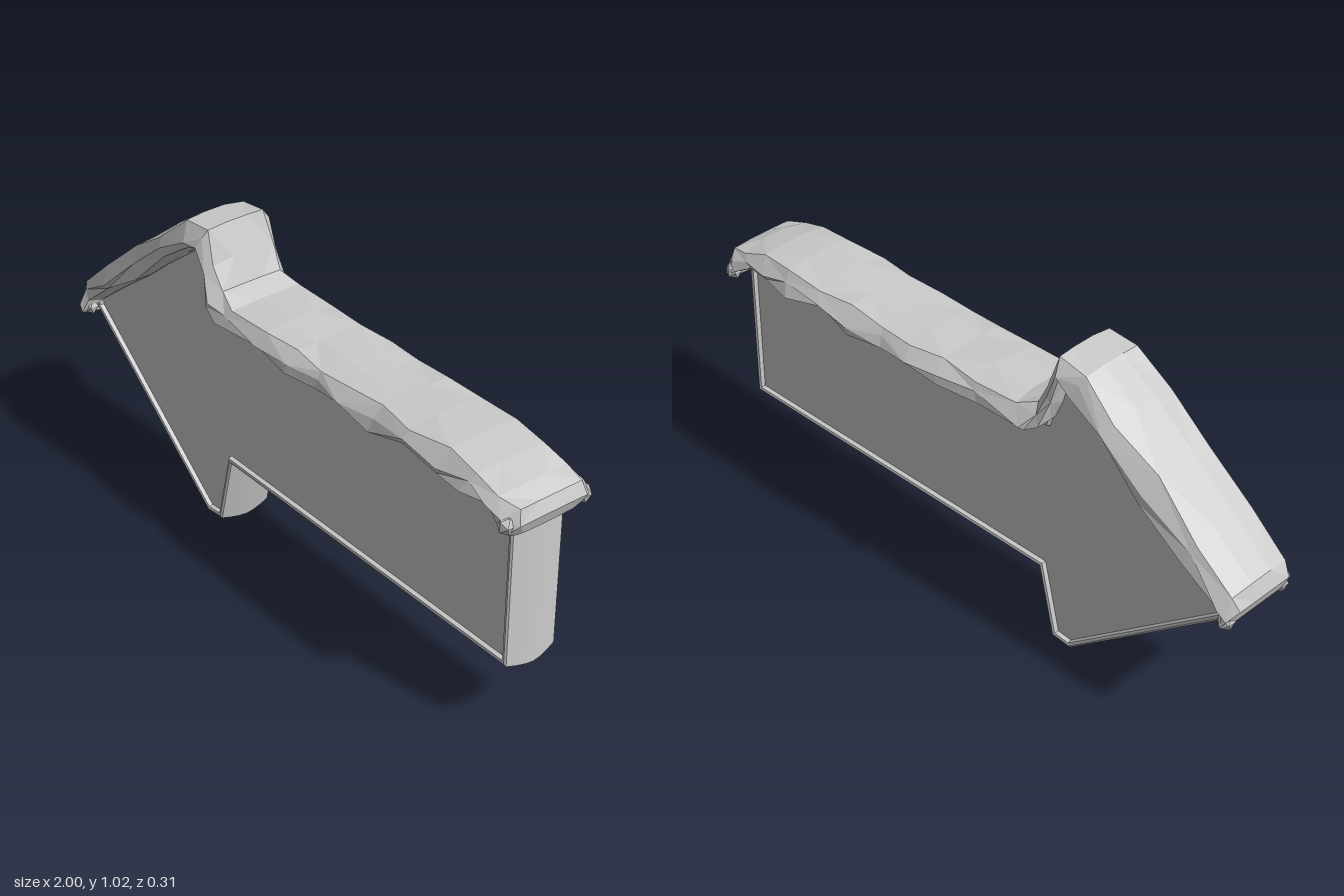
import * as THREE from 'three';
import { toCreasedNormals } from 'three/addons/utils/BufferGeometryUtils.js';

// Arrow outline, counter-clockwise seen from the front
const OUTLINE = [
  [-0.975, 0.475], [-0.395, 0], [-0.31, 0.008], [-0.255, 0.237], [0.97, 0.24],
  [0.97, 0.79], [-0.265, 0.79], [-0.325, 0.985], [-0.38, 0.985], [-0.975, 0.53],
].map(([x, y]) => new THREE.Vector2(x, y));

// Mitred inset of a closed outline
function inset(points, d) {
  const n = points.length;
  return points.map((p, i) => {
    const a = p.clone().sub(points[(i + n - 1) % n]).normalize();
    const b = points[(i + 1) % n].clone().sub(p).normalize();
    const na = new THREE.Vector2(-a.y, a.x), nb = new THREE.Vector2(-b.y, b.x);
    const m = na.clone().add(nb).normalize();
    return p.clone().addScaledVector(m, d / m.dot(na));
  });
}

// Skin between closed rings of [x, y, z], optionally capped at both ends
function loft(rings, caps = false) {
  const n = rings[0].length, index = [];
  for (let s = 0; s < rings.length - 1; s++) {
    for (let j = 0; j < n; j++) {
      const k = (j + 1) % n, a = s * n + j, b = a + n, c = s * n + k, d = c + n;
      if ((s + j) % 2) index.push(a, b, c, c, b, d);
      else index.push(a, b, d, a, d, c);
    }
  }
  if (caps) {
    const e = (rings.length - 1) * n;
    for (let j = 1; j < n - 1; j++) index.push(0, j, j + 1, e, e + j + 1, e + j);
  }
  const g = new THREE.BufferGeometry();
  g.setAttribute('position', new THREE.Float32BufferAttribute(rings.flat(2), 3));
  g.setIndex(index);
  g.computeVertexNormals();
  return g;
}

export function createModel() {
  const group = new THREE.Group();
  const smooth = new THREE.MeshStandardMaterial({ color: 0xcccccc });
  const faceted = new THREE.MeshStandardMaterial({ color: 0xcccccc, flatShading: true });
  const add = (name, geometry, material) => {
    const mesh = new THREE.Mesh(geometry, material);
    mesh.name = name;
    group.add(mesh);
    return mesh;
  };

  // Rim: raised lips front and back, with a gently bulging outer wall
  const half = [[0.032, 0.076], [0.028, 0.088], [0.02, 0.09], [0.014, 0.086], [0.007, 0.055], [0.002, 0.025]];
  const profile = [...half, [0, 0], ...half.map(([d, z]) => [d, -z]).reverse()];
  const rings = profile.map(([d, z]) => inset(OUTLINE, d).map((p) => [p.x, p.y, z + 0.01]));
  add('arrowRim', toCreasedNormals(loft(rings), 0.6), smooth);

  // Recessed panels on both sides
  const panel = new THREE.ShapeGeometry(new THREE.Shape(inset(OUTLINE, 0.032)));
  add('frontPanel', panel, smooth).position.z = 0.086;
  const back = panel.clone();
  back.setIndex([...back.index.array].reverse());
  back.computeVertexNormals();
  add('backPanel', back, smooth).position.z = -0.066;

  // Snow: stations from tip to tail [crest x, crest y, hem x, hem y, front z, back z]
  const stations = [
    [-0.985, 0.49, -0.965, 0.46, 0.14, -0.115],
    [-1.0, 0.53, -0.96, 0.475, 0.155, -0.125],
    [-0.985, 0.585, -0.94, 0.51, 0.15, -0.13],
    [-0.86, 0.69, -0.82, 0.605, 0.155, -0.13],
    [-0.7, 0.82, -0.66, 0.725, 0.15, -0.125],
    [-0.56, 0.93, -0.51, 0.85, 0.155, -0.13],
    [-0.44, 1.015, -0.4, 0.935, 0.145, -0.12],
    [-0.335, 1.025, -0.36, 0.96, 0.14, -0.12],
    [-0.3, 0.93, -0.335, 0.865, 0.14, -0.125],
    [-0.27, 0.85, -0.305, 0.795, 0.15, -0.135],
    [-0.2, 0.828, -0.27, 0.757, 0.155, -0.155],
    [-0.05, 0.832, -0.08, 0.752, 0.15, -0.15],
    [0.08, 0.825, 0.07, 0.76, 0.155, -0.155],
    [0.2, 0.83, 0.19, 0.752, 0.15, -0.16],
    [0.32, 0.828, 0.3, 0.765, 0.155, -0.155],
    [0.45, 0.832, 0.43, 0.75, 0.15, -0.16],
    [0.58, 0.838, 0.56, 0.765, 0.155, -0.155],
    [0.72, 0.838, 0.7, 0.755, 0.15, -0.16],
    [0.84, 0.828, 0.8, 0.76, 0.155, -0.15],
    [0.93, 0.808, 0.88, 0.752, 0.15, -0.145],
    [0.985, 0.785, 0.94, 0.735, 0.145, -0.15],
    [1.0, 0.745, 0.965, 0.705, 0.14, -0.155],
    [0.985, 0.705, 0.965, 0.695, 0.11, -0.11],
  ];
  // Cross-section over the ridge: [height from hem to crest, sideways share, lumpiness]
  const side = [[0, 0.62, 0], [0.1, 0.95, 0.1], [0.42, 0.97, 0.14], [0.88, 0.77, 0.1], [1, 0.28, 0]];
  const section = [...side, ...side.map(([t, s, l]) => [t, -s, l]).reverse()];
  const snow = stations.map(([cx, cy, hx, hy, f, b], i) => section.map(([t, s, lump], j) => {
    const wave = lump * Math.sin(i * 2.3 + j * 1.9);
    const h = THREE.MathUtils.clamp(t + wave, 0, 1);
    const w = THREE.MathUtils.clamp(s * (1 - 0.7 * wave), -1, 1);
    return [hx + (cx - hx) * h, hy + (cy - hy) * h, (f + b) / 2 + w * (f - b) / 2];
  }));
  add('snowCap', loft(snow, true), faceted);

  // Small frozen clumps at the corners of the overhang
  for (const [x, y, z] of [[0.965, 0.725, -0.133], [0.96, 0.735, 0.128],
    [-0.965, 0.49, 0.12], [-0.965, 0.49, -0.1]]) {
    const clump = add('snowClump', new THREE.IcosahedronGeometry(0.026, 0), faceted);
    clump.position.set(x, y, z);
    clump.scale.y = 1.2;
  }
  return group;
}
